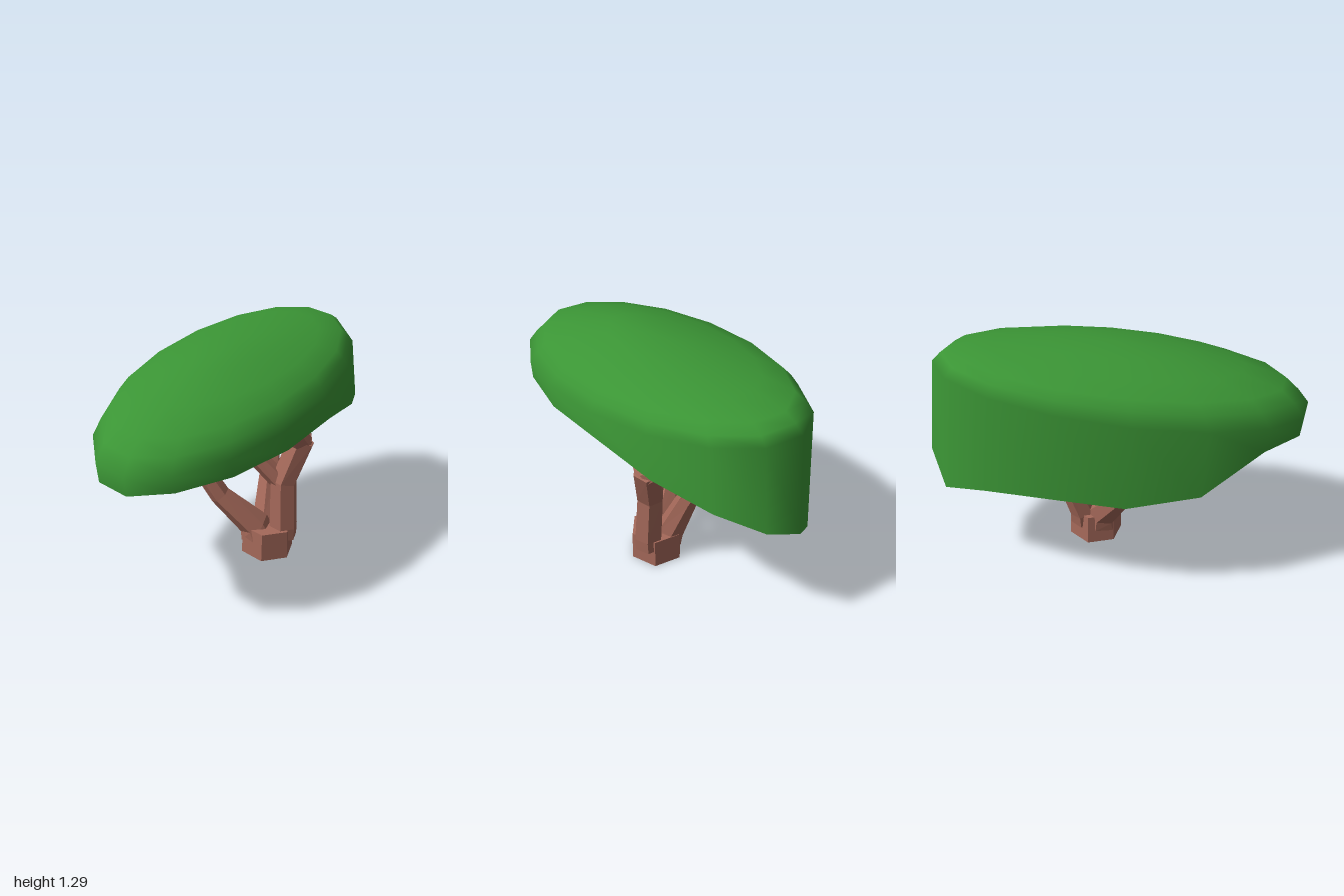
import * as THREE from 'three';

const bark = new THREE.MeshStandardMaterial({ color: 0xa5695a, flatShading: true });
const leaf = new THREE.MeshStandardMaterial({ color: 0x3b9535, side: THREE.DoubleSide });

// Six-sided limb through points [x, y, z, radius], closed at both ends
function limb(name, points) {
  const SIDES = 6;
  const centres = points.map(([x, y, z]) => new THREE.Vector3(x, y, z));
  const pos = [], index = [];
  centres.forEach((c, i) => {
    const dir = new THREE.Vector3();
    if (i > 0) dir.add(c.clone().sub(centres[i - 1]).normalize());
    if (i < centres.length - 1) dir.add(centres[i + 1].clone().sub(c).normalize());
    dir.normalize();
    const u = new THREE.Vector3().crossVectors(dir, new THREE.Vector3(0, 0, 1)).normalize();
    const v = new THREE.Vector3().crossVectors(u, dir);
    for (let s = 0; s < SIDES; s++) {
      const a = (s / SIDES) * Math.PI * 2, r = points[i][3];
      const p = c.clone().addScaledVector(u, r * Math.sin(a)).addScaledVector(v, r * Math.cos(a));
      pos.push(p.x, p.y, p.z);
    }
  });
  const last = (centres.length - 1) * SIDES;
  for (let i = 0; i < centres.length - 1; i++) {
    for (let s = 0; s < SIDES; s++) {
      const a = i * SIDES + s, b = i * SIDES + ((s + 1) % SIDES);
      index.push(a, b, b + SIDES, a, b + SIDES, a + SIDES);
    }
  }
  for (let s = 1; s < SIDES - 1; s++) {
    index.push(0, s + 1, s, last, last + s, last + s + 1);
  }
  const geo = new THREE.BufferGeometry();
  geo.setAttribute('position', new THREE.Float32BufferAttribute(pos, 3));
  geo.setIndex(index);
  geo.computeVertexNormals();
  const mesh = new THREE.Mesh(geo, bark);
  mesh.name = name;
  return mesh;
}

// Hollow skewed-oval dome: an uneven rim, then tilted rings closing to the crown
function canopy() {
  const N = 16;
  const rim = [0.62, 0.70, 0.79, 0.865, 0.935, 0.91, 0.89, 0.875,
    0.855, 0.855, 0.85, 0.64, 0.585, 0.61, 0.58, 0.49];
  // [scale, centre x, height, slope along x, slope along z]
  const rings = [
    [0.965, -0.037, 1.065, 0.1, -0.04],
    [0.915, -0.03, 1.125, 0.085, -0.055],
    [0.85, -0.025, 1.175, 0.075, -0.045],
    [0.65, -0.015, 1.225, 0.065, -0.035],
    [0.35, -0.02, 1.272, 0.04, -0.02],
  ];
  const pos = [], index = [];
  const oval = (s) => {
    const a = (s / N) * Math.PI * 2, c = Math.cos(a), n = Math.sin(a);
    return [1.0 * c + 0.2 * n, -0.255 * c + 0.475 * n];
  };
  for (let s = 0; s < N; s++) {
    const [x, z] = oval(s);
    pos.push(x * 0.99, rim[s], z);
  }
  rings.forEach(([k, cx, h, sx, sz], i) => {
    const kz = i === 0 ? 1 : k * 1.02;
    for (let s = 0; s < N; s++) {
      const [ox, oz] = oval(s);
      const x = ox * k + cx, z = oz * kz;
      pos.push(x, h + sx * x + sz * z, z);
    }
  });
  pos.push(0, 1.29, 0);
  const top = rings.length * N;
  for (let s = 0; s < N; s++) {
    const t = (s + 1) % N;
    for (let i = 0; i < rings.length; i++) {
      const a = i * N + s, b = i * N + t;
      index.push(a, a + N, b + N, a, b + N, b);
    }
    index.push(top + s, top + N, top + t);
  }
  const geo = new THREE.BufferGeometry();
  geo.setAttribute('position', new THREE.Float32BufferAttribute(pos, 3));
  geo.setIndex(index);
  geo.computeVertexNormals();
  const mesh = new THREE.Mesh(geo, leaf);
  mesh.name = 'canopy';
  return mesh;
}

export function createModel() {
  const tree = new THREE.Group();
  tree.name = 'tree';

  const wood = new THREE.Group();
  wood.name = 'trunkAndBranches';
  wood.add(
    limb('trunk', [[0.145, 0, 0.0975, 0.155], [0.145, 0.17, 0.1, 0.15]]),
    // Main limbs leaving the trunk
    limb('frontStem', [[0.195, 0.1, 0.17, 0.085], [0.195, 0.17, 0.175, 0.083],
      [0.2, 0.45, 0.165, 0.078], [0.28, 0.7, 0.22, 0.08]]),
    limb('rightBranch', [[0.1, 0.1, 0.06, 0.1], [0.085, 0.17, 0.045, 0.09],
      [-0.055, 0.36, -0.09, 0.06], [-0.155, 0.61, -0.21, 0.052], [-0.57, 0.92, -0.24, 0.035]]),
    limb('leftBranch', [[0.195, 0.1, 0.05, 0.085], [0.2, 0.17, 0.035, 0.08],
      [0.285, 0.42, -0.02, 0.06], [0.365, 0.61, -0.07, 0.05],
      [0.55, 0.7, -0.1, 0.042], [0.66, 0.9, -0.12, 0.04]]),
    // Forks of the front stem
    limb('innerBranch', [[0.2, 0.43, 0.16, 0.06], [0.06, 0.66, 0.0, 0.05], [-0.03, 0.98, 0.02, 0.042]]),
    limb('stubBranch', [[0.06, 0.64, -0.01, 0.035], [-0.14, 0.79, 0.2, 0.03]]),
    limb('forkRight', [[0.28, 0.67, 0.22, 0.07], [0.135, 0.86, 0.22, 0.055], [0.13, 1.0, 0.2, 0.05]]),
    limb('forkLeft', [[0.28, 0.67, 0.22, 0.065], [0.415, 0.81, 0.1, 0.048], [0.435, 0.98, 0.08, 0.042]]),
  );

  tree.add(wood, canopy());
  return tree;
}
